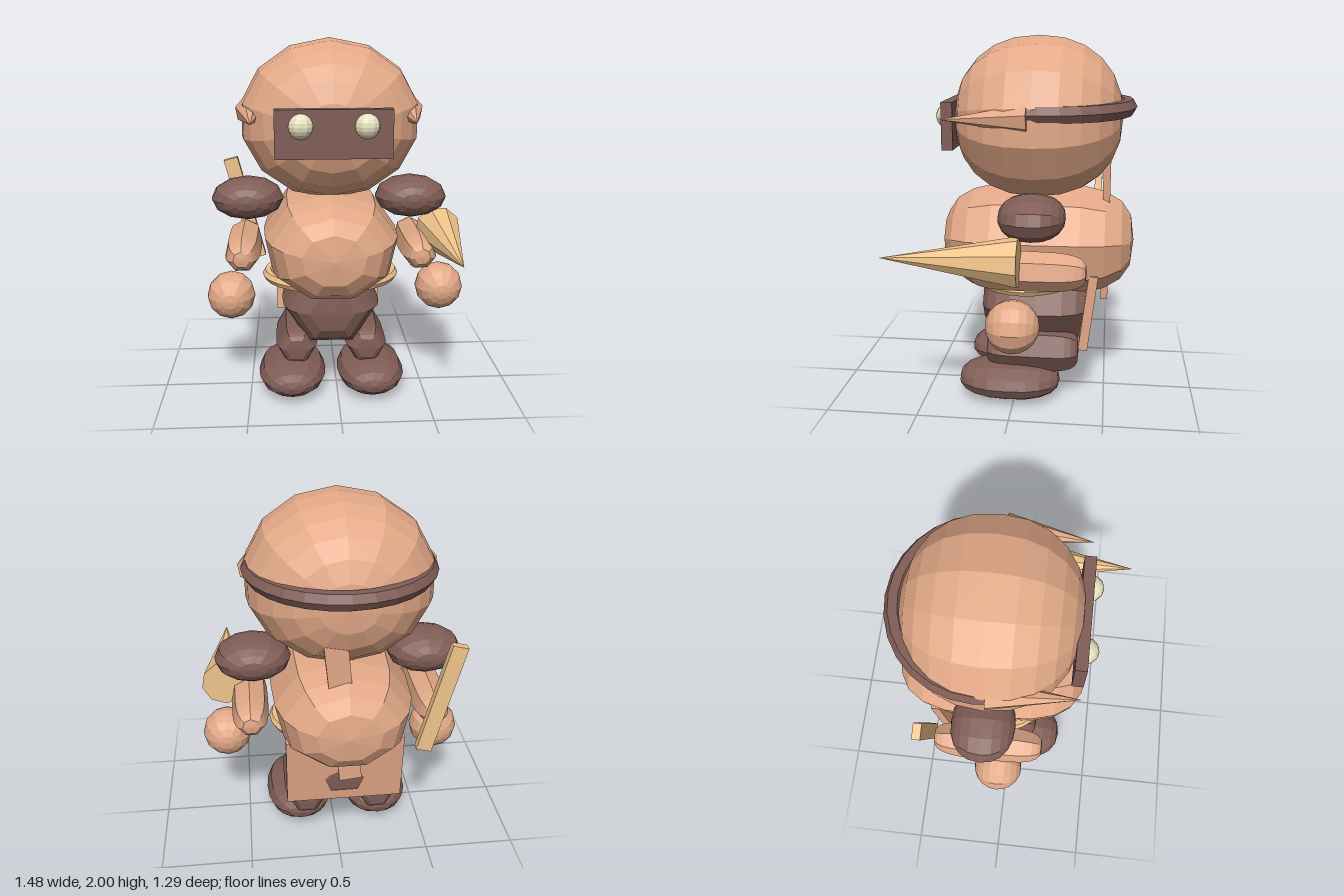
import * as THREE from 'three';

const paint = (color) => new THREE.MeshStandardMaterial({ color, flatShading: true });
const CX = -0.032; // symmetry line of the body

export function createModel() {
  const model = new THREE.Group();
  const skin = paint(0xe3a988), dark = paint(0x805d56), tan = paint(0xf0c48c), pale = paint(0xe6e2c0);

  const add = (name, geometry, material, x, y, z) => {
    const mesh = new THREE.Mesh(geometry, material);
    mesh.name = name;
    mesh.position.set(x, y, z);
    model.add(mesh);
    return mesh;
  };

  // Low-poly ellipsoid with its poles along z; blunt < 1 squares off the ends
  const blob = (rx, ry, rz, sides, rings, blunt = 1, start = -Math.PI / 2) => {
    const g = new THREE.SphereGeometry(1, sides, rings, start);
    const p = g.attributes.position;
    for (let i = 0; i < p.count; i++) {
      const x = p.getX(i), y = p.getY(i), z = p.getZ(i);
      const r = Math.hypot(x, z);
      const k = r > 1e-5 ? Math.pow(r, blunt) / r : 1;
      p.setXYZ(i, x * k, Math.sign(y) * Math.pow(Math.abs(y), blunt), z * k);
    }
    return g.rotateX(Math.PI / 2).scale(rx, ry, rz);
  };

  // Horizontal ring with elliptical outline
  const ring = (rx, rz, tube, sides) =>
    new THREE.TorusGeometry(1, tube / rx, sides, 28).rotateX(Math.PI / 2).scale(rx, rx, rz);

  // Cone from a base centre to a tip
  const spike = (name, material, radius, sides, base, tip) => {
    const axis = new THREE.Vector3().subVectors(tip, base);
    const mid = base.clone().addScaledVector(axis, 0.5);
    const cone = add(name, new THREE.ConeGeometry(radius, axis.length(), sides), material, mid.x, mid.y, mid.z);
    cone.quaternion.setFromUnitVectors(new THREE.Vector3(0, 1, 0), axis.normalize());
  };

  // Head, body and hips
  add('head', blob(0.5, 0.44, 0.458, 14, 12, 0.9), skin, CX, 1.56, -0.107);
  add('torso', blob(0.385, 0.315, 0.532, 9, 10, 0.68), skin, CX, 0.88, -0.112);
  add('hips', blob(0.282, 0.255, 0.32, 6, 10, 0.68, 0), dark, CX, 0.507, -0.113);

  // Head band and face mask
  add('headBand', ring(0.457, 0.45, 0.048, 6), dark, CX, 1.625, -0.142);
  add('mask', new THREE.BoxGeometry(0.6, 0.25, 0.06), dark, CX, 1.54, 0.348);

  // Paired parts
  for (const side of [-1, 1]) {
    const label = side > 0 ? 'left' : 'right';
    const at = (d) => CX + side * d;
    add(label + 'Eye', new THREE.SphereGeometry(0.066, 12, 10), pale, at(0.167), 1.58, 0.365);
    spike(label + 'Horn', skin, 0.08, 7,
      new THREE.Vector3(at(0.443), 1.605, -0.09), new THREE.Vector3(at(0.418), 1.59, 0.365));
    add(label + 'Shoulder', blob(0.205, 0.12, 0.172, 12, 10, 0.9), dark, at(0.467), 1.11, -0.115);
    add(label + 'Forearm', blob(0.103, 0.105, 0.305, 7, 12, 0.6), skin, at(0.495), 0.835, -0.095);
    add(label + 'Leg', blob(0.121, 0.124, 0.258, 6, 12, 0.5, 0), dark, at(0.2), 0.278, -0.097);
    add(label + 'Foot', blob(0.193, 0.108, 0.283, 12, 10, 0.85), dark, at(0.227), 0.112, 0.03);
  }

  // Balls hanging beside the legs
  add('rightBall', blob(0.138, 0.138, 0.138, 12, 10), skin, -0.605, 0.55, -0.035);
  add('leftBall', blob(0.138, 0.138, 0.138, 12, 10), skin, 0.602, 0.585, -0.035);

  // Spearhead held on the left
  spike('spearhead', tan, 0.132, 9, new THREE.Vector3(0.592, 0.918, -0.065), new THREE.Vector3(0.592, 0.918, 0.642));

  // Belt, back flap and the two slats behind
  add('belt', ring(0.36, 0.29, 0.03, 6), tan, CX, 0.677, -0.05);
  add('backFlap', new THREE.BoxGeometry(0.635, 0.425, 0.05), skin, CX, 0.543, -0.405).rotation.x = -0.12;
  add('slat', new THREE.BoxGeometry(0.085, 0.64, 0.045), tan, -0.535, 0.967, -0.435).rotation.z = 0.25;
  add('backStrap', new THREE.BoxGeometry(0.12, 0.82, 0.04), skin, -0.012, 0.945, -0.487).rotation.z = -0.1;

  return model;
}
